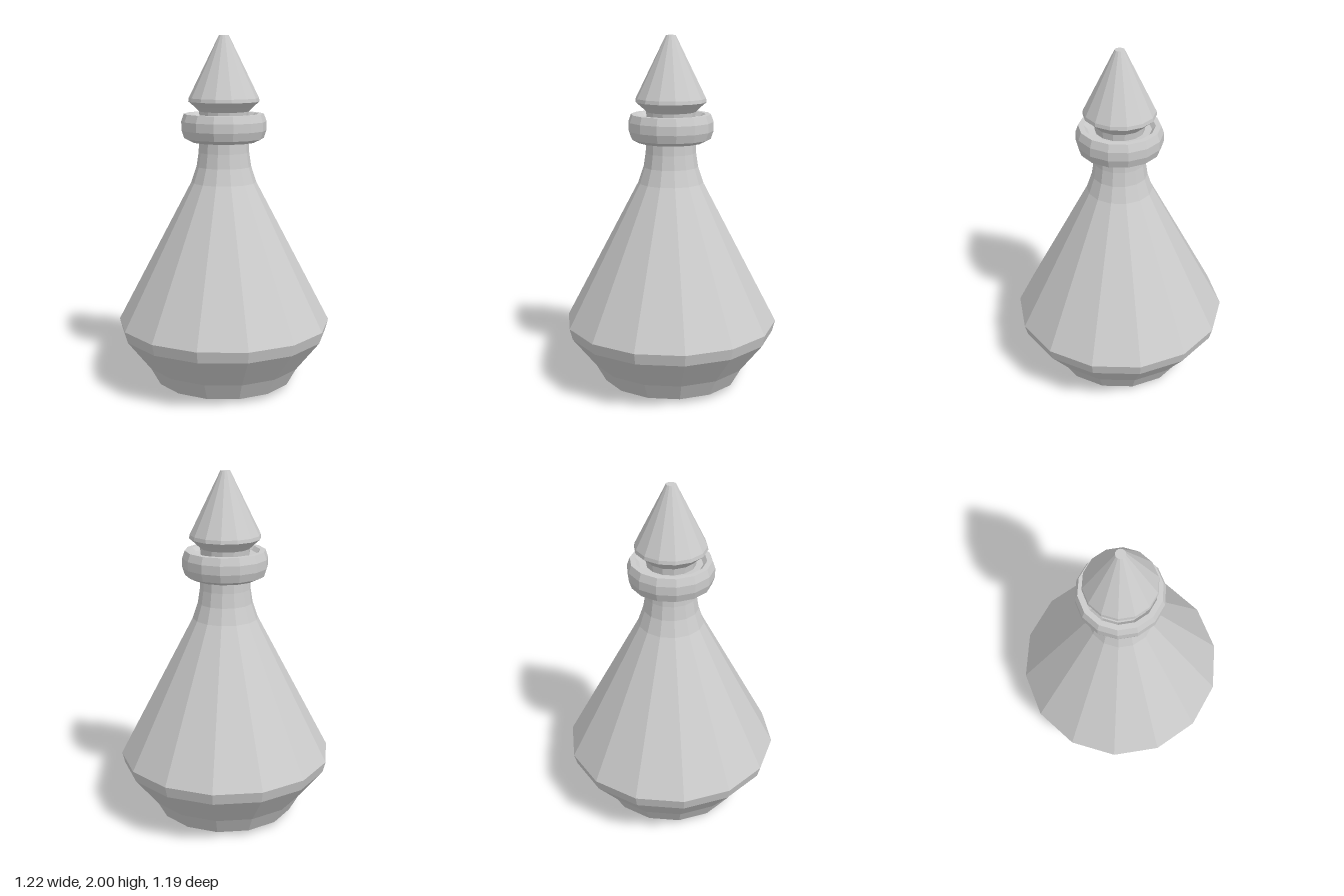
import * as THREE from 'three';

const SIDES = 14;

// Faceted surface of revolution from [radius, height] pairs, bottom to top
function turned(name, profile) {
  const points = profile.map(([r, y]) => new THREE.Vector2(r, y));
  const geometry = new THREE.LatheGeometry(points, SIDES, Math.PI / 2);
  const material = new THREE.MeshStandardMaterial({ color: 0xcccccc, flatShading: true, side: THREE.DoubleSide });
  const mesh = new THREE.Mesh(geometry, material);
  mesh.name = name;
  return mesh;
}

export function createModel() {
  const bottle = new THREE.Group();
  bottle.name = 'bottle';

  // Base, flared belly and narrow neck
  bottle.add(turned('body', [
    [0, 0], [0.31, 0.003], [0.40, 0.03], [0.455, 0.13], [0.593, 0.305], [0.61, 0.37],
    [0.185, 1.18], [0.155, 1.27], [0.143, 1.35], [0.14, 1.42],
  ]));

  // Rounded collar with a shallow recess around the stopper
  bottle.add(turned('collar', [
    [0.135, 1.405], [0.185, 1.41], [0.225, 1.43], [0.24, 1.475], [0.24, 1.525],
    [0.225, 1.567], [0.195, 1.567], [0.175, 1.545], [0.12, 1.54],
  ]));

  // Pointed stopper with a narrow waist and a blunt tip
  bottle.add(turned('stopper', [
    [0.135, 1.53], [0.14, 1.58], [0.165, 1.605], [0.2, 1.635], [0.197, 1.655],
    [0.027, 2], [0, 2],
  ]));

  return bottle;
}
